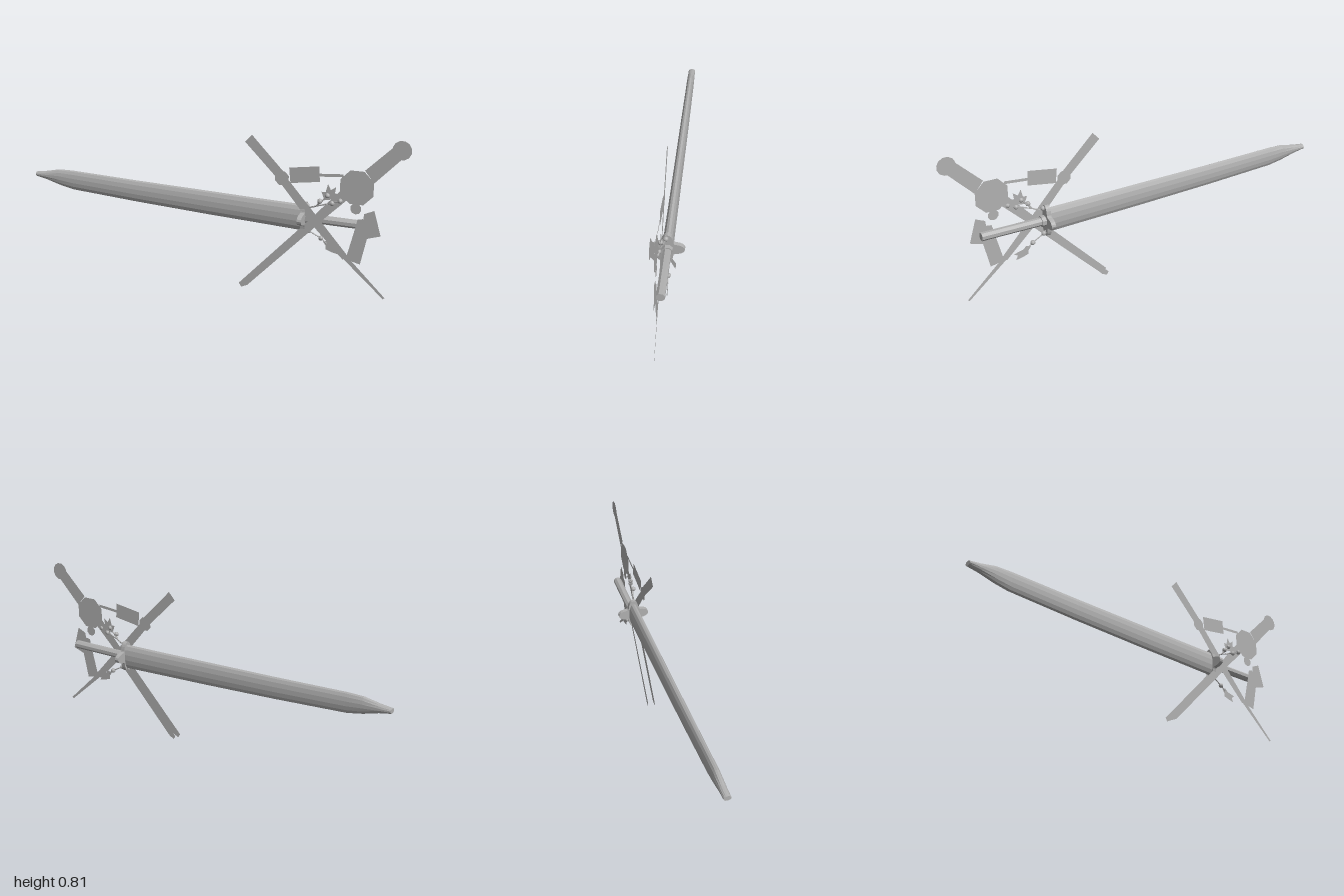
import * as THREE from 'three';

const steel = new THREE.MeshStandardMaterial({ color: 0xb0b0b0, flatShading: true, side: THREE.DoubleSide });
steel.name = 'greySteel';

function add(parent, geometry, name) {
  const mesh = new THREE.Mesh(geometry, steel);
  mesh.name = name;
  parent.add(mesh);
  return mesh;
}

// Flat plate from an outline in the x-y plane
function plate(parent, name, points, z = 0.025) {
  const shape = new THREE.Shape(points.map(([x, y]) => new THREE.Vector2(x, y)));
  return add(parent, new THREE.ShapeGeometry(shape).translate(0, 0, z), name);
}

function disc(parent, name, x, y, r, sides = 10) {
  return add(parent, new THREE.CircleGeometry(r, sides, Math.PI / sides).translate(x, y, 0.025), name);
}

function cord(parent, name, points, r) {
  const curve = new THREE.CatmullRomCurve3(points.map((p) => new THREE.Vector3(...p)));
  return add(parent, new THREE.TubeGeometry(curve, 8, r, 5), name);
}

// Loft of elliptical sections [x, top, bottom, half depth] with closed ends
function loft(sections, sides) {
  const pos = [], index = [];
  for (const [x, top, bottom, depth] of sections) {
    for (let i = 0; i < sides; i++) {
      const a = (i / sides) * Math.PI * 2;
      pos.push(x, (top + bottom) / 2 + Math.cos(a) * (top - bottom) / 2, Math.sin(a) * depth);
    }
  }
  for (let s = 0; s < sections.length - 1; s++) {
    for (let i = 0; i < sides; i++) {
      const j = (i + 1) % sides, a = s * sides, b = a + sides;
      index.push(a + i, a + j, b + i, a + j, b + j, b + i);
    }
  }
  const last = (sections.length - 1) * sides;
  for (let i = 1; i < sides - 1; i++) {
    index.push(0, i + 1, i, last, last + i, last + i + 1);
  }
  const g = new THREE.BufferGeometry();
  g.setAttribute('position', new THREE.Float32BufferAttribute(pos, 3));
  g.setIndex(index);
  g.computeVertexNormals();
  return g;
}

export function createModel() {
  const model = new THREE.Group();
  model.name = 'sheathedSword';

  // Gently curved scabbard with a narrowed tip
  add(model, loft([
    [-1, 0.455, 0.43, 0.018], [-0.94, 0.463, 0.418, 0.019], [-0.86, 0.48, 0.395, 0.02],
    [-0.78, 0.482, 0.38, 0.02], [-0.4, 0.472, 0.36, 0.022], [0, 0.465, 0.344, 0.023],
    [0.25, 0.46, 0.336, 0.024], [0.49, 0.457, 0.328, 0.025],
  ], 14), 'scabbard');

  // Four-lobed guard, collar and grip
  const lobes = [];
  for (let i = 0; i < 48; i++) {
    const a = (i / 48) * Math.PI * 2, r = 0.061 + 0.019 * Math.cos(4 * a);
    lobes.push(new THREE.Vector2(Math.cos(a) * r, Math.sin(a) * r));
  }
  const guard = add(model, new THREE.ExtrudeGeometry(new THREE.Shape(lobes), { depth: 0.022, bevelEnabled: false }), 'guard');
  guard.rotation.y = Math.PI / 2;
  guard.position.set(0.487, 0.393, 0);
  for (const [name, r, x, length] of [['collar', 0.027, 0.515, 0.03], ['grip', 0.021, 0.665, 0.33]]) {
    const g = new THREE.CylinderGeometry(r, r, length, 8).rotateY(Math.PI / 8).rotateZ(Math.PI / 2);
    add(model, g, name).position.set(x, 0.393, 0);
  }

  // Crossed flat arms
  const arms = new THREE.Group();
  arms.name = 'crossedArms';
  model.add(arms);
  plate(arms, 'upperLeftArm', [[0.2, 0.738], [0.235, 0.775], [0.4, 0.61], [0.365, 0.578]]);
  disc(arms, 'upperLeftJoint', 0.39, 0.58, 0.037, 8);
  plate(arms, 'diagonalBar', [[0.375, 0.565], [0.405, 0.595], [0.73, 0.235], [0.7, 0.22], [0.53, 0.385]]);
  plate(arms, 'taperedPoint', [[0.69, 0.235], [0.72, 0.24], [0.91, 0.06], [0.902, 0.053]]);
  const lowerArm = [[0.175, 0.02], [0.187, 0], [0.22, 0.015], [0.56, 0.36], [0.57, 0.42], [0.52, 0.38]];
  plate(arms, 'lowerLeftArm', lowerArm);
  plate(arms, 'lowerLeftBackArm', [[0.18, 0.02], [0.19, 0.003], [0.215, 0.015], [0.52, 0.34], [0.5, 0.35]], -0.01);
  plate(arms, 'upperRightBar', [[0.52, 0.38], [0.56, 0.365], [0.72, 0.52], [0.685, 0.56]]);
  disc(arms, 'hub', 0.755, 0.575, 0.086, 8);
  plate(arms, 'upperRightArm', [[0.79, 0.66], [0.925, 0.79], [0.965, 0.738], [0.835, 0.605]]);
  disc(arms, 'upperRightEnd', 0.955, 0.77, 0.045, 12);

  // Side tag and hanging plates
  const tags = new THREE.Group();
  tags.name = 'hangingPlates';
  model.add(tags);
  plate(tags, 'sideTag', [[0.425, 0.635], [0.572, 0.657], [0.578, 0.583], [0.433, 0.561]]);
  plate(tags, 'tagRod', [[0.572, 0.622], [0.69, 0.632], [0.69, 0.618], [0.572, 0.608]]);
  plate(tags, 'hubNeck', [[0.735, 0.52], [0.775, 0.52], [0.765, 0.46], [0.745, 0.46]]);
  disc(tags, 'smallDisc', 0.754, 0.475, 0.027);
  plate(tags, 'upperHangingPlate', [[0.795, 0.455], [0.842, 0.476], [0.877, 0.358], [0.805, 0.335], [0.785, 0.37]]);
  plate(tags, 'lowerHangingPlate', [[0.765, 0.425], [0.79, 0.43], [0.815, 0.345], [0.785, 0.208], [0.715, 0.222], [0.75, 0.36]]);

  // Beaded cords with small leaves
  const charms = new THREE.Group();
  charms.name = 'beadedCords';
  model.add(charms);
  const beads = [
    [0.513, 0.456, 0.006], [0.58, 0.49, 0.025], [0.615, 0.52, 0.02], [0.64, 0.487, 0.026],
    [0.68, 0.504, 0.03], [0.52, 0.33, -0.005], [0.58, 0.298, -0.01],
  ];
  for (const [x, y, z] of beads) {
    add(charms, new THREE.SphereGeometry(0.012, 10, 8).translate(x, y, z), 'bead');
  }
  for (const end of [1, 2, 3, 4]) {
    cord(charms, 'upperCord', [[0.51, 0.445, 0.006], [0.56, 0.462, 0.016], beads[end]], 0.003);
  }
  cord(charms, 'lowerCord', [[0.505, 0.345, -0.003], beads[5], beads[6], [0.61, 0.275, -0.01]], 0.003);
  plate(charms, 'upperLeaf', [[0.6, 0.495], [0.585, 0.535], [0.605, 0.535], [0.615, 0.575], [0.63, 0.548],
    [0.655, 0.565], [0.65, 0.535], [0.68, 0.53], [0.645, 0.505]], 0.018);
  plate(charms, 'lowerLeaf', [[0.59, 0.283], [0.615, 0.29], [0.63, 0.275], [0.68, 0.262], [0.66, 0.25],
    [0.67, 0.228], [0.635, 0.235], [0.605, 0.245], [0.605, 0.262]], -0.011);

  return model;
}
